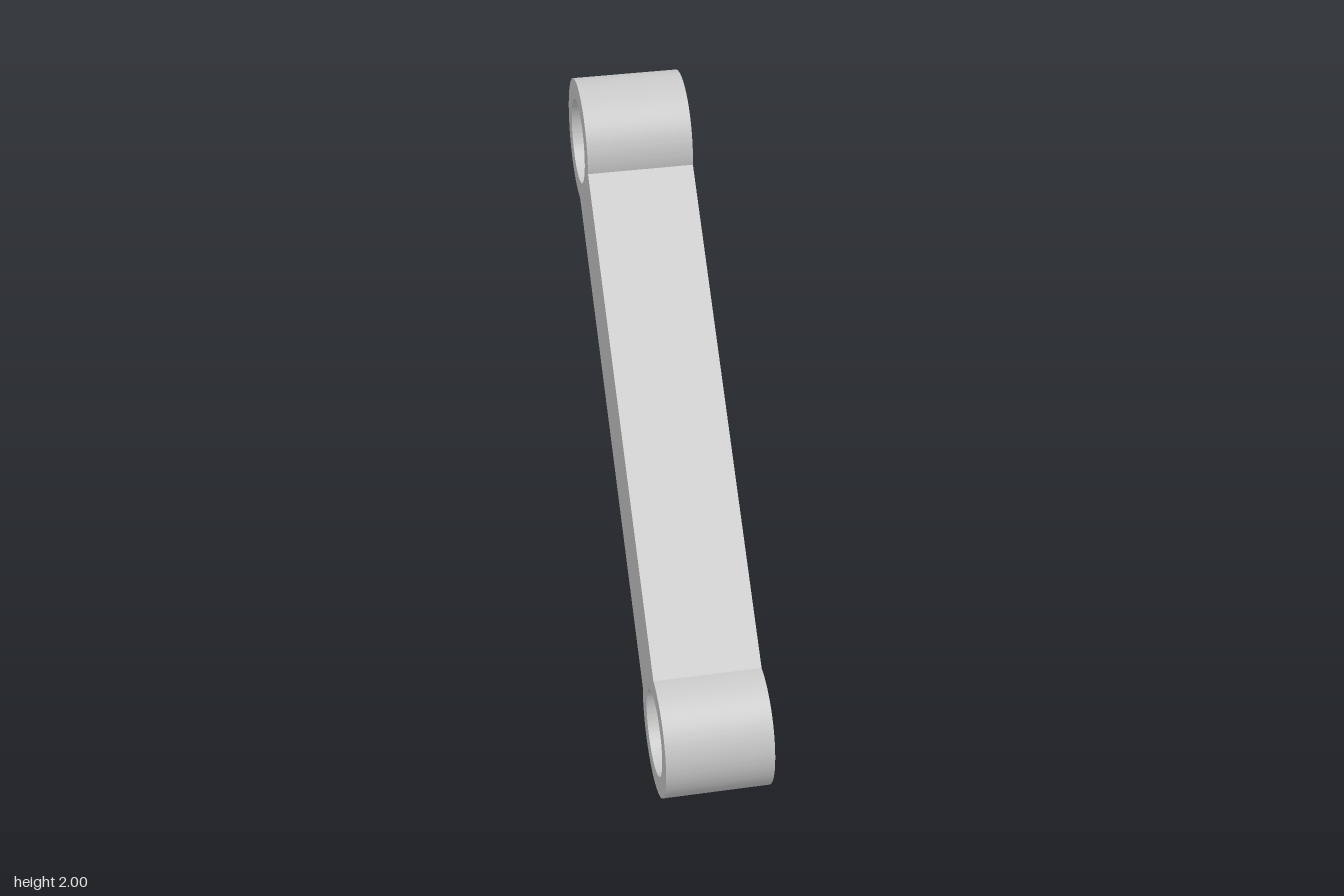
import * as THREE from 'three';
import { toCreasedNormals } from 'three/addons/utils/BufferGeometryUtils.js';

export function createModel() {
  const group = new THREE.Group();
  group.name = 'connectingLink';

  const width = 0.385;      // thickness across x
  const outer = 0.23;       // end ring radius
  const bore = 0.155;       // pin hole radius
  const armHalf = 0.153;    // half the height of the arm
  const reach = 0.77;       // ring centre offset from the middle
  const neck = Math.asin(armHalf / outer); // where the arm meets a ring

  // Side outline: two rings joined by a diagonal arm
  const ends = [
    { x: -reach, y: 1 - reach, toArm: Math.PI / 4 },
    { x: reach, y: 1 + reach, toArm: Math.PI * 5 / 4 },
  ];
  const outline = new THREE.Shape();
  for (const { x, y, toArm } of ends) {
    outline.absarc(x, y, outer, toArm + neck, toArm - neck + Math.PI * 2, false);
    const hole = new THREE.Path();
    hole.absarc(x, y, bore, 0, Math.PI * 2, true);
    outline.holes.push(hole);
  }
  outline.closePath();

  // Extrude across the width, then turn so the outline lies in the y-z plane
  const geometry = new THREE.ExtrudeGeometry(outline, {
    depth: width, bevelEnabled: false, curveSegments: 64,
  });
  geometry.translate(0, 0, -width / 2);
  geometry.rotateY(Math.PI / 2);

  const link = new THREE.Mesh(
    toCreasedNormals(geometry, 0.5),
    new THREE.MeshStandardMaterial({ color: 0xcccccc }),
  );
  link.name = 'linkArmWithEndRings';
  group.add(link);
  return group;
}
